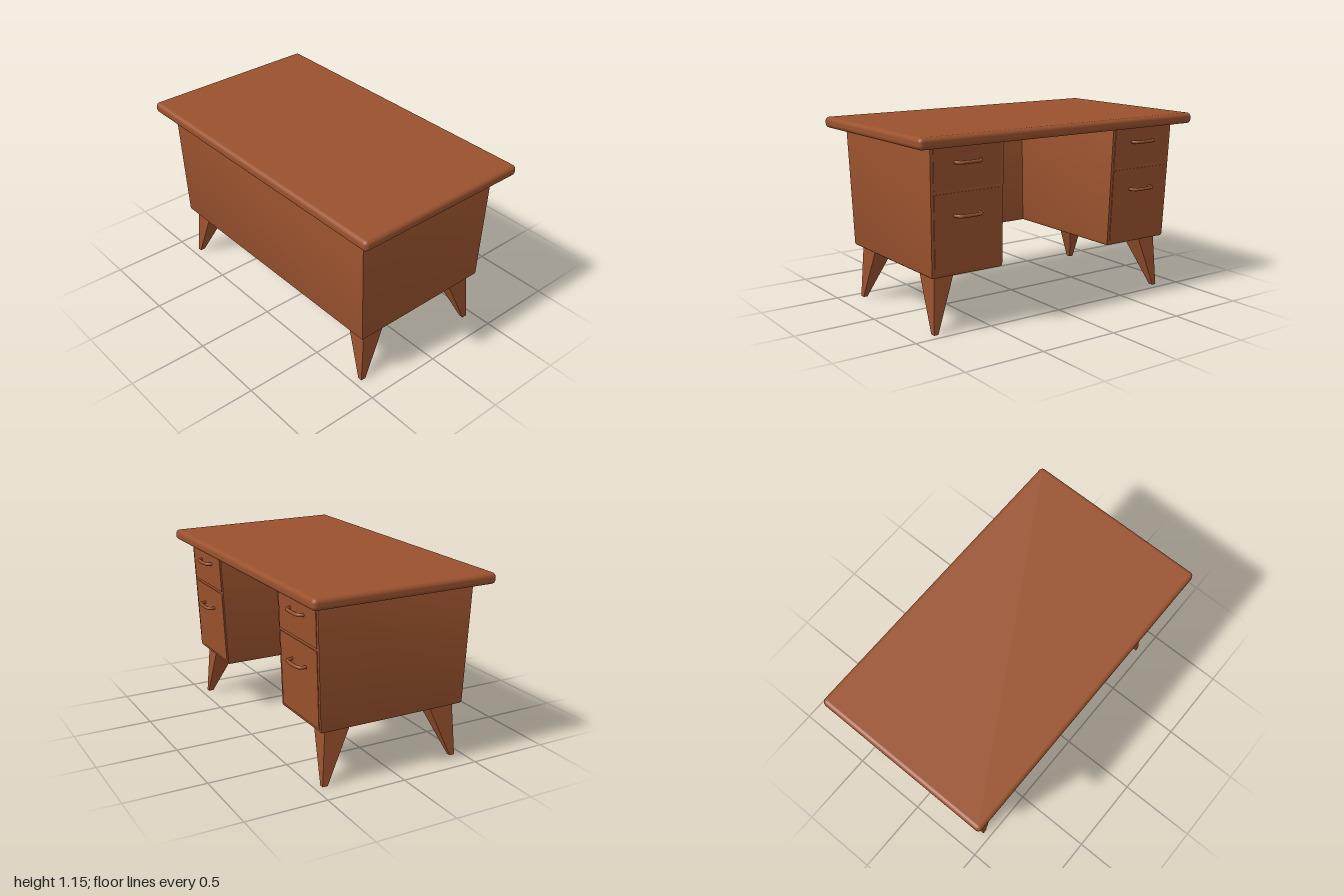
import * as THREE from 'three';
import { toCreasedNormals } from 'three/addons/utils/BufferGeometryUtils.js';
import { RoundedBoxGeometry } from 'three/addons/geometries/RoundedBoxGeometry.js';

const wood = new THREE.MeshStandardMaterial({ color: 0x9a522e });
wood.name = 'brown wood';

const BODY_BOTTOM = 0.335, BODY_TOP = 1.08;

function addPart(parent, name, geometry) {
  const mesh = new THREE.Mesh(geometry, wood);
  mesh.name = name;
  parent.add(mesh);
  return mesh;
}

// The cabinet narrows slightly towards its bottom
function taper(geometry) {
  const p = geometry.attributes.position;
  for (let i = 0; i < p.count; i++) {
    const k = (BODY_TOP - p.getY(i)) / (BODY_TOP - BODY_BOTTOM);
    p.setX(i, p.getX(i) * (1 - 0.02 * k));
    p.setZ(i, p.getZ(i) * (1 - 0.06 * k));
  }
  geometry.computeVertexNormals();
  return geometry;
}

// U-shaped plan: two pedestals joined by a front panel, kneehole open at the back
function bodyGeometry() {
  const w = 0.892, d = 0.503, knee = 0.41, panel = 0.45, bevel = 0.016;
  const plan = new THREE.Shape([
    [-w, -d], [w, -d], [w, d], [knee, d], [knee, -panel], [-knee, -panel], [-knee, d], [-w, d],
  ].map(([x, y]) => new THREE.Vector2(x, y)));
  const g = new THREE.ExtrudeGeometry(plan, {
    depth: BODY_TOP - BODY_BOTTOM, bevelEnabled: true, bevelThickness: bevel,
    bevelSize: bevel, bevelOffset: -bevel, bevelSegments: 3,
  });
  g.rotateX(-Math.PI / 2).translate(0, BODY_BOTTOM + bevel, 0);
  return toCreasedNormals(taper(g), 0.6);
}

// Square leg tapering outwards and down to a small foot
function legGeometry(sx, sz) {
  const g = new THREE.BoxGeometry(1, 1, 1);
  const p = g.attributes.position;
  for (let i = 0; i < p.count; i++) {
    const top = p.getY(i) > 0, outX = p.getX(i) * sx > 0, outZ = p.getZ(i) * sz > 0;
    const x = top ? (outX ? 0.838 : 0.705) : (outX ? 0.855 : 0.828);
    const z = top ? (outZ ? 0.43 : 0.265) : (outZ ? 0.453 : 0.42);
    p.setXYZ(i, sx * x, top ? BODY_BOTTOM + 0.01 : 0, sz * z);
  }
  g.computeVertexNormals();
  return g;
}

// Curved pull handle
function handleGeometry() {
  const path = new THREE.CatmullRomCurve3([
    [-0.08, -0.475], [-0.08, -0.51], [-0.066, -0.53], [-0.03, -0.535],
    [0.03, -0.535], [0.066, -0.53], [0.08, -0.51], [0.08, -0.475],
  ].map(([x, z]) => new THREE.Vector3(x, 0, z)));
  return new THREE.TubeGeometry(path, 32, 0.0105, 8);
}

export function createModel() {
  const desk = new THREE.Group();
  desk.name = 'desk';

  addPart(desk, 'tabletop', new RoundedBoxGeometry(2, 0.067, 1.172, 4, 0.026))
    .position.y = 1.1135;
  addPart(desk, 'cabinet', bodyGeometry());

  for (const sx of [-1, 1]) {
    const side = sx > 0 ? 'left' : 'right';
    for (const sz of [-1, 1]) {
      addPart(desk, `${side}${sz > 0 ? 'Front' : 'Back'}Leg`, legGeometry(sx, sz));
    }
    // Two drawers on the back of each pedestal
    for (const [name, low, high, handleY] of [
      ['Upper', 0.832, 1.078, 0.985], ['Lower', 0.36, 0.815, 0.685],
    ]) {
      const drawer = new THREE.Group();
      drawer.name = `${side}${name}Drawer`;
      desk.add(drawer);
      const front = new THREE.BoxGeometry(0.445, high - low, 0.008);
      front.translate(sx * 0.651, (low + high) / 2, -0.503);
      addPart(drawer, 'drawerFront', taper(front));
      addPart(drawer, 'drawerHandle', handleGeometry()).position.set(sx * 0.65, handleY, 0);
    }
  }
  return desk;
}
